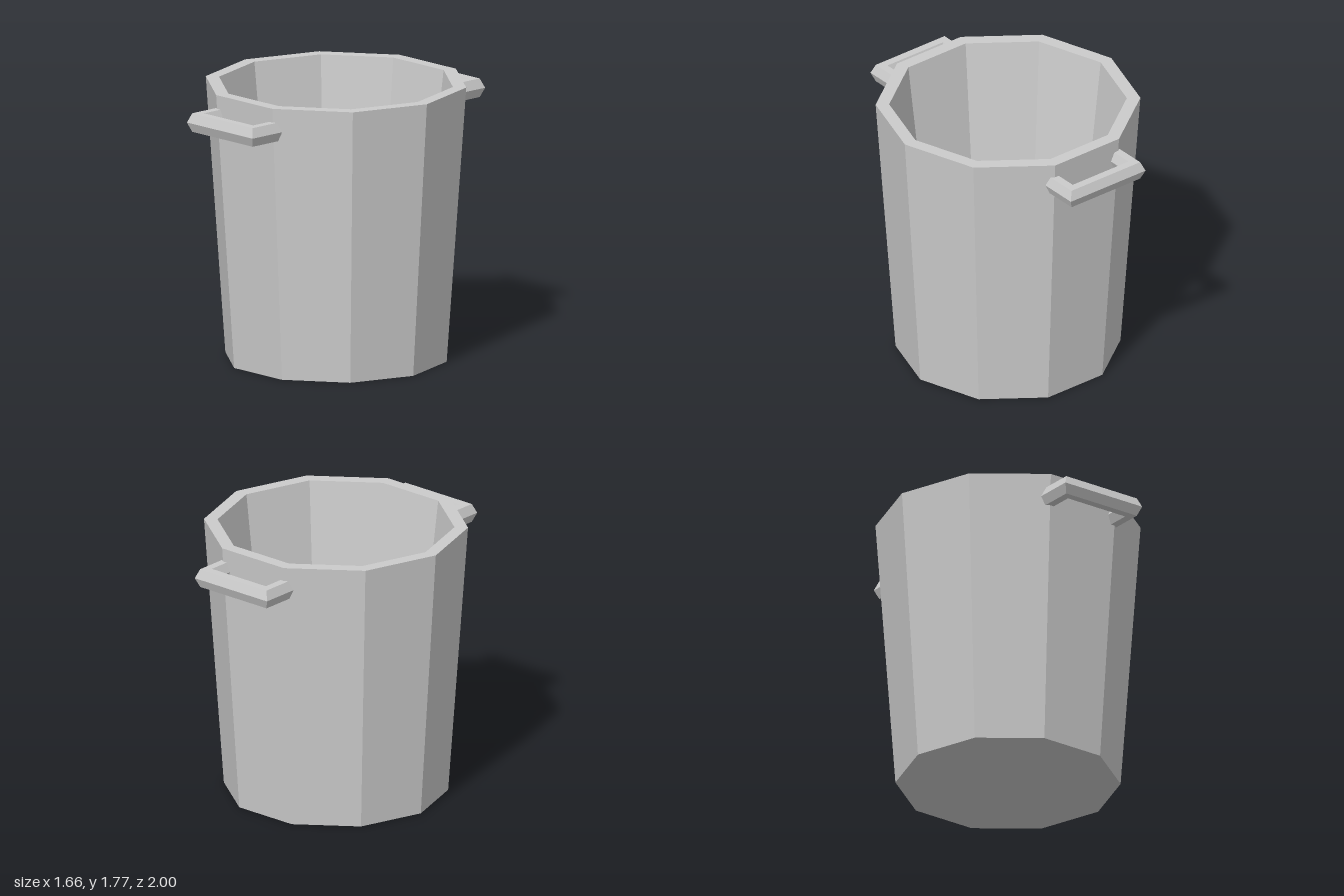
import * as THREE from 'three';

const material = new THREE.MeshStandardMaterial({ color: 0xcccccc, flatShading: true });

// U-shaped bar with a hexagonal section and mitred corners
function handleGeometry() {
  const section = [[0.05, 0], [0.026, 0.06], [-0.026, 0.06], [-0.05, 0], [-0.026, -0.06], [0.026, -0.06]];
  // [side, centre z, does the offset move the point in z]
  const stations = [[-1, 0.745, 0], [-1, 0.95, 1], [1, 0.95, 1], [1, 0.745, 0]];
  const n = section.length;
  const positions = [];
  const index = [];
  for (const [side, z, mitre] of stations) {
    for (const [o, y] of section) positions.push(side * (0.25 + o), y, z + mitre * o);
  }
  for (let i = 0; i < stations.length - 1; i++) {
    for (let j = 0; j < n; j++) {
      const k = (j + 1) % n;
      const a = i * n + j, b = (i + 1) * n + j, c = (i + 1) * n + k, d = i * n + k;
      index.push(a, b, c, a, c, d);
    }
  }
  // end caps
  const last = (stations.length - 1) * n;
  for (let j = 1; j < n - 1; j++) {
    index.push(0, j, j + 1, last, last + j + 1, last + j);
  }
  const geometry = new THREE.BufferGeometry();
  geometry.setAttribute('position', new THREE.Float32BufferAttribute(positions, 3));
  geometry.setIndex(index);
  const flat = geometry.toNonIndexed();
  flat.computeVertexNormals();
  return flat;
}

export function createModel() {
  const model = new THREE.Group();
  model.name = 'bucket';

  // Ten-sided tapered tub: underside, outer wall, rim, inner wall, floor
  const profile = [[0, 0], [0.705, 0], [0.83, 1.77], [0.745, 1.77], [0.555, 0.17], [0, 0.17]]
    .map(([r, y]) => new THREE.Vector2(r, y));
  const tub = new THREE.Mesh(new THREE.LatheGeometry(profile, 10, Math.PI / 2), material);
  tub.name = 'tub';
  model.add(tub);

  // Handles at front and back
  const geometry = handleGeometry();
  ['frontHandle', 'backHandle'].forEach((name, i) => {
    const handle = new THREE.Mesh(geometry, material);
    handle.name = name;
    handle.position.y = 1.62;
    handle.rotation.y = i * Math.PI;
    model.add(handle);
  });

  return model;
}
